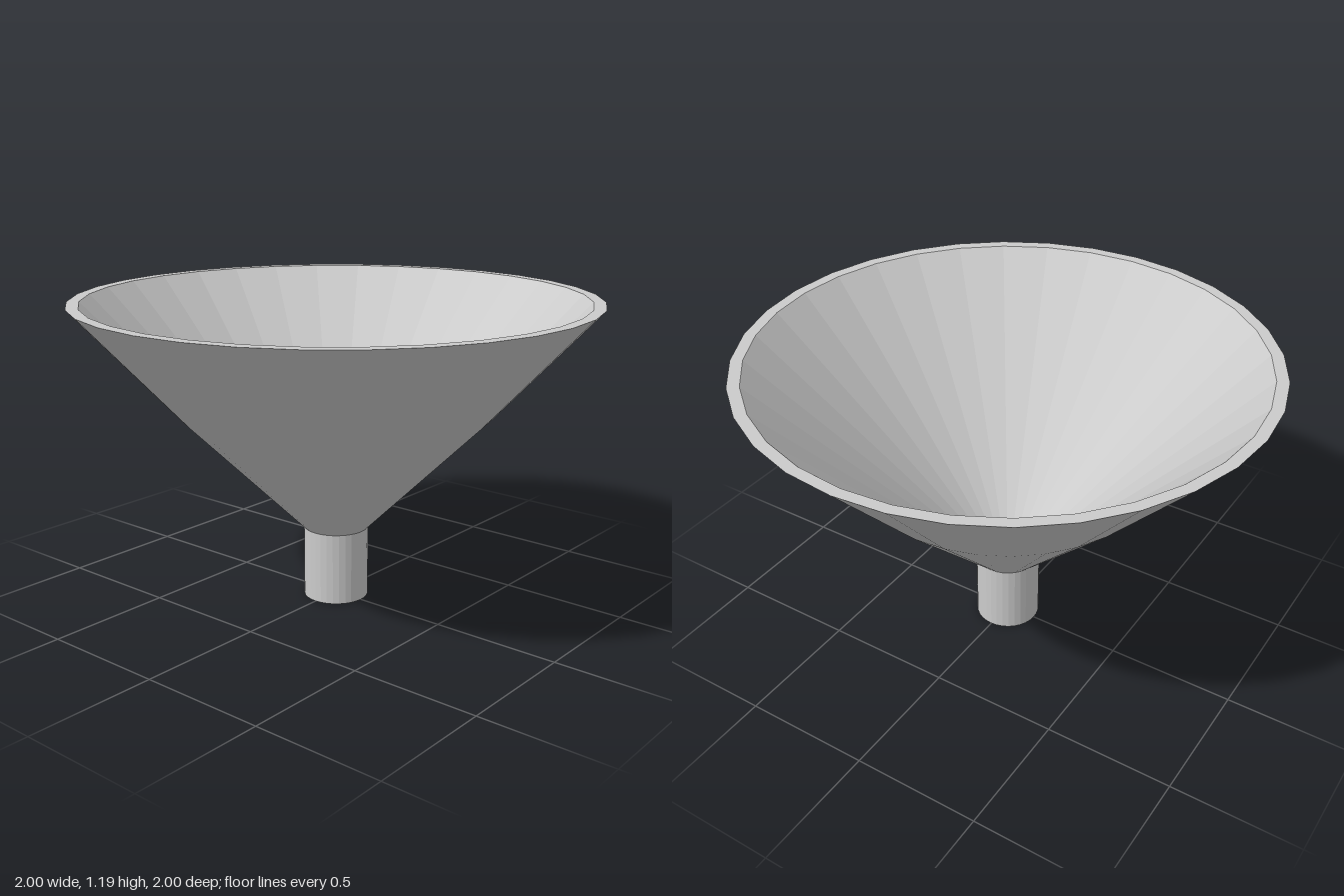
import * as THREE from 'three';

const SIDES = 32;

// Faceted ring of walls turned from [radius, height] points
function turned(name, profile) {
  const points = profile.map(([r, y]) => new THREE.Vector2(r, y));
  const material = new THREE.MeshStandardMaterial({ color: 0xcccccc, flatShading: true });
  const mesh = new THREE.Mesh(new THREE.LatheGeometry(points, SIDES), material);
  mesh.name = name;
  return mesh;
}

export function createModel() {
  const group = new THREE.Group();
  group.name = 'funnel';

  // Cone: outer wall with a slight bend, flat rim, inner wall down to the throat
  group.add(turned('cone', [
    [0.127, 0.285], [0.6, 0.755], [1, 1.19], [0.954, 1.19], [0.118, 0.315], [0.108, 0.285],
  ]));

  // Spout: open tube with a flat lower lip
  group.add(turned('spout', [
    [0.108, 0.285], [0.108, 0], [0.127, 0], [0.127, 0.285],
  ]));

  return group;
}
